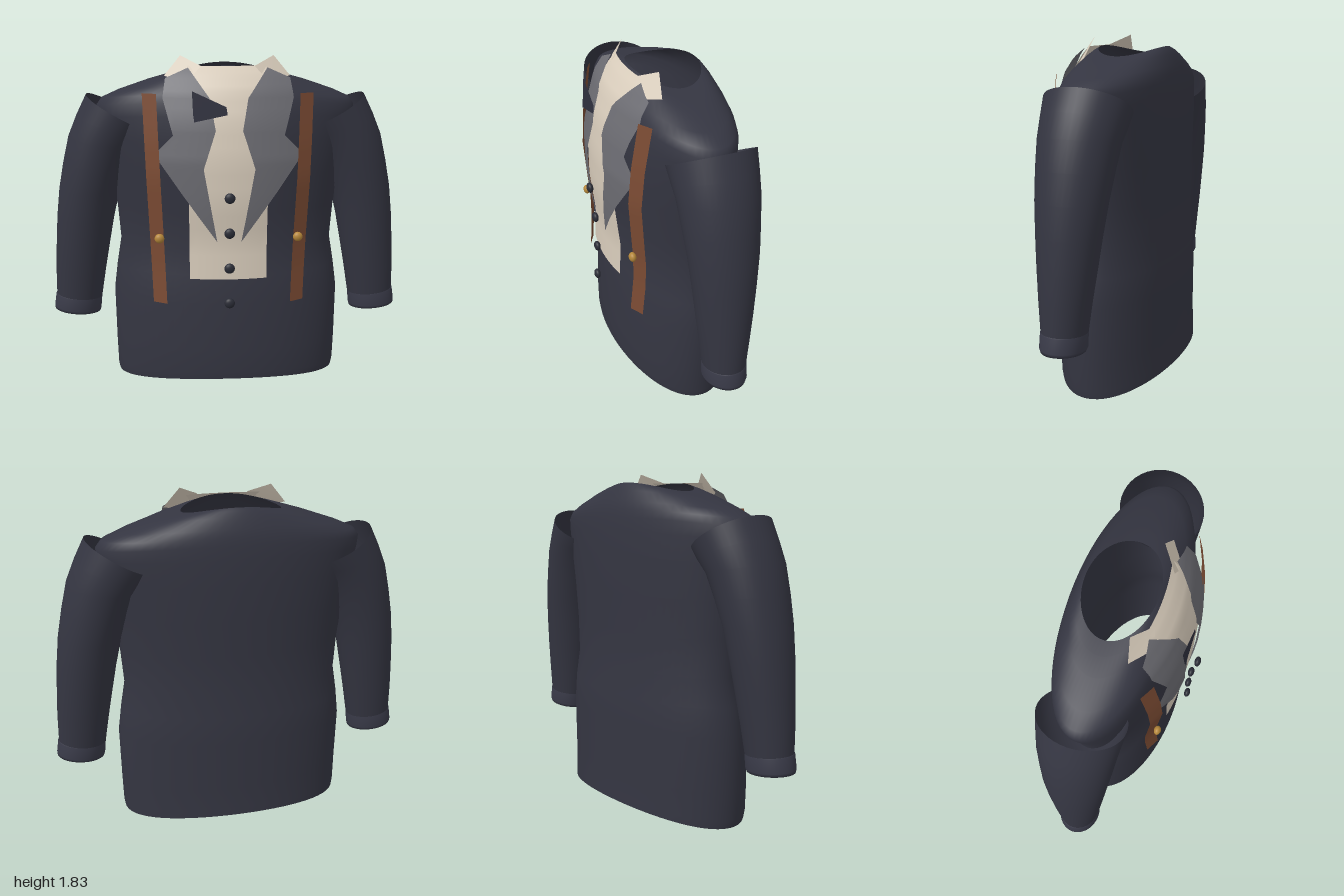
import * as THREE from 'three';

const mat = (name, color, side = THREE.DoubleSide) => {
  const m = new THREE.MeshStandardMaterial({ color, side });
  m.name = name;
  return m;
};

// piecewise linear lookup in a list of [key, value]
const lerpTable = (table, k) => {
  if (k <= table[0][0]) return table[0][1];
  for (let i = 1; i < table.length; i++) {
    const [k0, v0] = table[i - 1], [k1, v1] = table[i];
    if (k <= k1) return v0 + (v1 - v0) * (k - k0) / (k1 - k0);
  }
  return table[table.length - 1][1];
};

// grid of rows x cols points; wrap joins the last column to the first
function grid(rows, cols, wrap, point) {
  const pos = [], idx = [];
  for (let r = 0; r < rows; r++)
    for (let c = 0; c < cols; c++) pos.push(...point(r, c));
  for (let r = 0; r < rows - 1; r++)
    for (let c = 0; c < (wrap ? cols : cols - 1); c++) {
      const d = (c + 1) % cols;
      const a = r * cols + c, b = r * cols + d, e = (r + 1) * cols + d, f = (r + 1) * cols + c;
      idx.push(a, b, e, a, e, f);
    }
  const g = new THREE.BufferGeometry();
  g.setAttribute('position', new THREE.Float32BufferAttribute(pos, 3));
  g.setIndex(idx);
  g.computeVertexNormals();
  return g;
}

// curved cloth panel between two edges given as [y, x] lists
function panel(left, right, zAt, cols = 8) {
  const ys = [...new Set([...left, ...right].map(p => p[0]))].sort((a, b) => a - b);
  const rows = [];
  ys.forEach((y, i) => {
    if (i) for (let k = 1; k <= 3; k++) rows.push(ys[i - 1] + (y - ys[i - 1]) * k / 3);
    else rows.push(y);
  });
  return grid(rows.length, cols, false, (r, c) => {
    const y = rows[r], a = lerpTable(left, y), b = lerpTable(right, y);
    const x = a + (b - a) * c / (cols - 1);
    return [x, y, zAt(x, y)];
  });
}

// tube of tilted elliptical rings: [x, y, radius, tilt, depth radius, z]
const sleeveTube = (rings, s) => grid(rings.length, 40, true, (r, c) => {
  const [x, y, rad, tilt, rz, z] = rings[r];
  const a = -s * c / 40 * Math.PI * 2, u = rad * Math.cos(a);
  return [s * (x + u * Math.cos(tilt)), y + u * Math.sin(tilt), z + rz * Math.sin(a)];
});

export function createModel() {
  const navy = mat('navy cloth', 0x343541);
  const cuffNavy = mat('cuff navy', 0x393a48);
  const cream = mat('cream shirt', 0xd9cdbc);
  const grey = mat('grey lapel', 0x6c6c72);
  const brown = mat('brown leather', 0x7b4b33);
  const dark = mat('dark buttons', 0x2a2c36, THREE.FrontSide);
  const tie = mat('tie navy', 0x2e2f3d);
  const gold = mat('gold', 0xb5873a, THREE.FrontSide);

  const root = new THREE.Group();
  root.name = 'jacket';
  const add = (name, geo, material, parent = root) => {
    const m = new THREE.Mesh(geo, material);
    m.name = name;
    parent.add(m);
    return m;
  };

  // torso rings: side y, centre y, half width, front z, back z
  const torso = [
    [0, 0.05, 0.636, 0.273, -0.37], [0.04, 0.09, 0.642, 0.278, -0.368],
    [0.2, 0.22, 0.645, 0.278, -0.36], [0.5, 0.5, 0.648, 0.262, -0.357],
    [0.65, 0.65, 0.628, 0.24, -0.35], [0.8, 0.8, 0.602, 0.215, -0.33],
    [1, 1, 0.615, 0.225, -0.328], [1.2, 1.2, 0.645, 0.245, -0.33],
    [1.38, 1.4, 0.68, 0.25, -0.33], [1.5, 1.53, 0.705, 0.238, -0.322],
    [1.56, 1.6, 0.71, 0.222, -0.315], [1.6, 1.64, 0.68, 0.208, -0.307],
    [1.64, 1.68, 0.59, 0.19, -0.297], [1.69, 1.735, 0.44, 0.16, -0.273],
    [1.715, 1.762, 0.34, 0.137, -0.255], [1.73, 1.775, 0.265, 0.12, -0.24],
  ];
  add('torso', grid(torso.length, 64, true, (r, c) => {
    const [ys, yc, w, zf, zb] = torso[r], a = -c / 64 * Math.PI * 2;
    const sn = Math.sin(a);
    return [w * Math.cos(a), ys + (yc - ys) * sn * sn, (zf + zb) / 2 + (zf - zb) / 2 * sn];
  }), navy);

  // shirt front, curved across the chest
  const chest = [[0.65, 0.295], [0.85, 0.288], [1.08, 0.314], [1.3, 0.314], [1.5, 0.285],
    [1.65, 0.235], [1.73, 0.18], [1.775, 0.14]];
  const chestZ = (x, y) => lerpTable(chest, y) - 0.5 * x * x;
  const shirtEdge = x => chest.map(([y]) => [y, x]);
  add('shirtFront', panel(shirtEdge(-0.212), shirtEdge(0.204), chestZ, 13), cream);

  // half bow at the neck
  add('neckBow', panel(
    [[1.505, -0.18], [1.54, -0.185], [1.58, -0.187], [1.66, -0.19]],
    [[1.505, -0.18], [1.54, -0.01], [1.58, -0.016], [1.66, -0.19]],
    (x, y) => 0.322 - 0.12 * (y - 1.505)), tie);

  // front buttons
  [[1.115, 0.36], [0.92, 0.337], [0.725, 0.333], [0.53, 0.34]].forEach(([y, z]) => {
    const b = add('frontButton', new THREE.SphereGeometry(0.028, 20, 14), dark);
    b.scale.z = 0.62;
    b.position.set(0, y, z);
  });

  const lapelInner = [[0.864, 0.064], [1.26, 0.134], [1.457, 0.07], [1.62, 0.1], [1.767, 0.208]];
  const lapelOuter = [[0.864, 0.064], [1.33, 0.39], [1.43, 0.29], [1.618, 0.342], [1.715, 0.328],
    [1.767, 0.208]];
  const strapZ = [[0.505, 0.265], [0.7, 0.25], [0.85, 0.25], [1, 0.262], [1.2, 0.277],
    [1.4, 0.262], [1.64, 0.225]];
  const sleeve = [
    [0.59, 1.517, 0.202, 0.52, 0.223, -0.056], [0.635, 1.44, 0.198, 0.35, 0.214, -0.055],
    [0.683, 1.36, 0.19, 0.17, 0.204, -0.053], [0.727, 1.23, 0.18, 0.08, 0.192, -0.051],
    [0.768, 1.09, 0.168, 0.04, 0.178, -0.05], [0.797, 0.93, 0.159, 0.05, 0.161, -0.048],
    [0.819, 0.77, 0.15, 0.06, 0.145, -0.046], [0.838, 0.62, 0.141, 0.08, 0.128, -0.044],
    [0.855, 0.45, 0.129, 0.1, 0.11, -0.043],
  ];
  const cuff = [
    [0.854, 0.469, 0.126, 0.1, 0.106, -0.043], [0.856, 0.462, 0.132, 0.1, 0.113, -0.043],
    [0.866, 0.39, 0.134, 0.1, 0.114, -0.043], [0.868, 0.373, 0.131, 0.1, 0.106, -0.043],
    [0.866, 0.385, 0.12, 0.1, 0.1, -0.043],
  ];

  // mirrored parts
  for (const s of [1, -1]) {
    const side = new THREE.Group();
    side.name = s > 0 ? 'leftSide' : 'rightSide';
    root.add(side);
    const flip = e => e.map(([y, x]) => [y, s * x]);
    const mirrored = (inner, outer, zAt, cols) => s > 0
      ? panel(inner, outer, zAt, cols) : panel(flip(outer), flip(inner), zAt, cols);

    // rings run from the shoulder down, so reverse them to face outwards
    add('sleeve', sleeveTube([...sleeve].reverse(), s), navy, side);
    add('cuff', sleeveTube([...cuff].reverse(), s), cuffNavy, side);

    add('lapel', mirrored(lapelInner, lapelOuter, (x, y) => chestZ(x, y) + 0.016), grey, side);

    // suspender strap
    const slant = y => 0.337 + 0.037 * (y - 0.505) / 1.135;
    add('strap', mirrored(
      strapZ.map(([y]) => [y, slant(y)]), strapZ.map(([y]) => [y, slant(y) + 0.075]),
      (x, y) => lerpTable(strapZ, y) - 0.55 * (Math.abs(x) - slant(y)), 4), brown, side);
    const stud = add('strapStud', new THREE.SphereGeometry(0.026, 20, 14), gold, side);
    stud.scale.z = 0.75;
    stud.position.set(s * 0.372, 0.877, 0.263);

    // pointed collar wing
    const wing = [[0.22, 1.69, 0.17], [0.335, 1.722, 0.085], [0.14, 1.775, 0.15], [0.248, 1.826, 0.065]];
    add('collarWing', grid(2, 2, false, (r, c) => {
      const [x, y, z] = wing[r * 2 + (s > 0 ? c : 1 - c)];
      return [s * x, y, z];
    }), cream, side);
  }
  return root;
}
